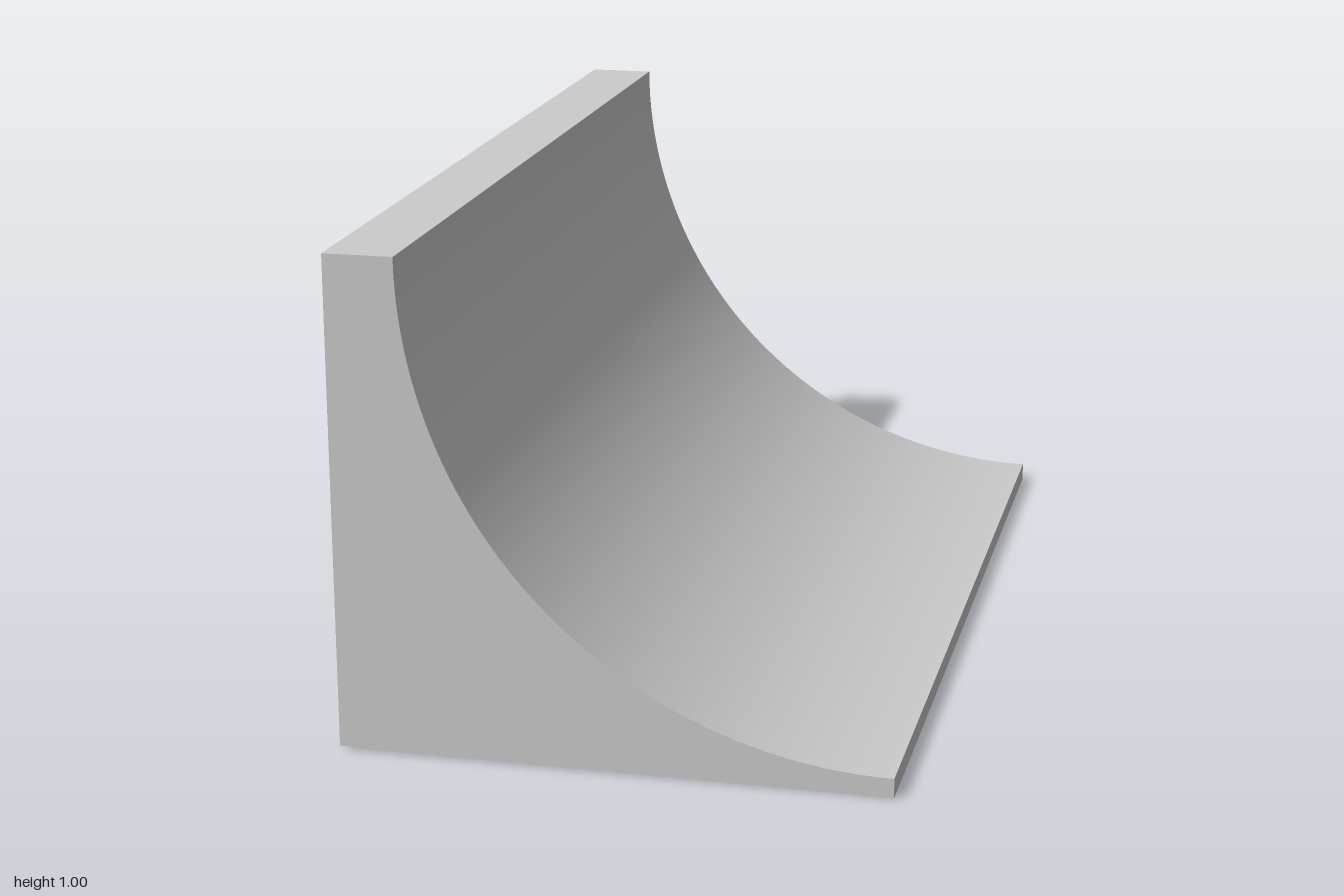
import * as THREE from 'three';

const HALF_X = 0.55, HEIGHT = 1, LENGTH = 2, RADIUS = 0.96;
const LIP = HEIGHT - RADIUS;      // height of the thin front lip
const LEDGE = HALF_X - RADIUS;    // x where the flat top ledge ends
const BACK_Y = 0.007;             // underside rises very slightly to the back wall

export function createModel() {
  const group = new THREE.Group();
  group.name = 'quarterPipeRamp';
  const material = new THREE.MeshStandardMaterial({ color: 0xcccccc, side: THREE.DoubleSide });

  const add = (name, geometry, x = 0, y = 0, z = 0) => {
    const mesh = new THREE.Mesh(geometry, material);
    mesh.name = name;
    mesh.position.set(x, y, z);
    group.add(mesh);
    return mesh;
  };

  // Concave riding surface: a quarter of an open cylinder lying along z
  const curve = new THREE.CylinderGeometry(RADIUS, RADIUS, LENGTH, 48, 1, true, -Math.PI / 2, Math.PI / 2);
  curve.rotateX(Math.PI / 2);
  add('curvedSurface', curve, HALF_X, HEIGHT, 0);

  // Flat ledge along the top
  const ledgeWidth = LEDGE + HALF_X;
  add('topLedge', new THREE.PlaneGeometry(ledgeWidth, LENGTH).rotateX(-Math.PI / 2),
    -HALF_X + ledgeWidth / 2, HEIGHT, 0);

  // Tall wall and low lip; the underside stays open
  add('tallWall', new THREE.PlaneGeometry(LENGTH, HEIGHT - BACK_Y).rotateY(-Math.PI / 2),
    -HALF_X, (HEIGHT + BACK_Y) / 2, 0);
  add('lowLip', new THREE.PlaneGeometry(LENGTH, LIP).rotateY(Math.PI / 2), HALF_X, LIP / 2, 0);

  // End walls share the ramp profile
  const profile = new THREE.Shape();
  profile.moveTo(-HALF_X, BACK_Y);
  profile.lineTo(HALF_X, 0);
  profile.lineTo(HALF_X, LIP);
  profile.absarc(HALF_X, HEIGHT, RADIUS, -Math.PI / 2, -Math.PI, true);
  profile.lineTo(-HALF_X, HEIGHT);
  profile.closePath();
  add('frontEnd', new THREE.ShapeGeometry(profile, 48), 0, 0, LENGTH / 2);

  // The back end is mirrored so that its face points outward
  const backEnd = add('backEnd', new THREE.ShapeGeometry(profile, 48), 0, 0, -LENGTH / 2);
  backEnd.scale.z = -1;

  return group;
}
